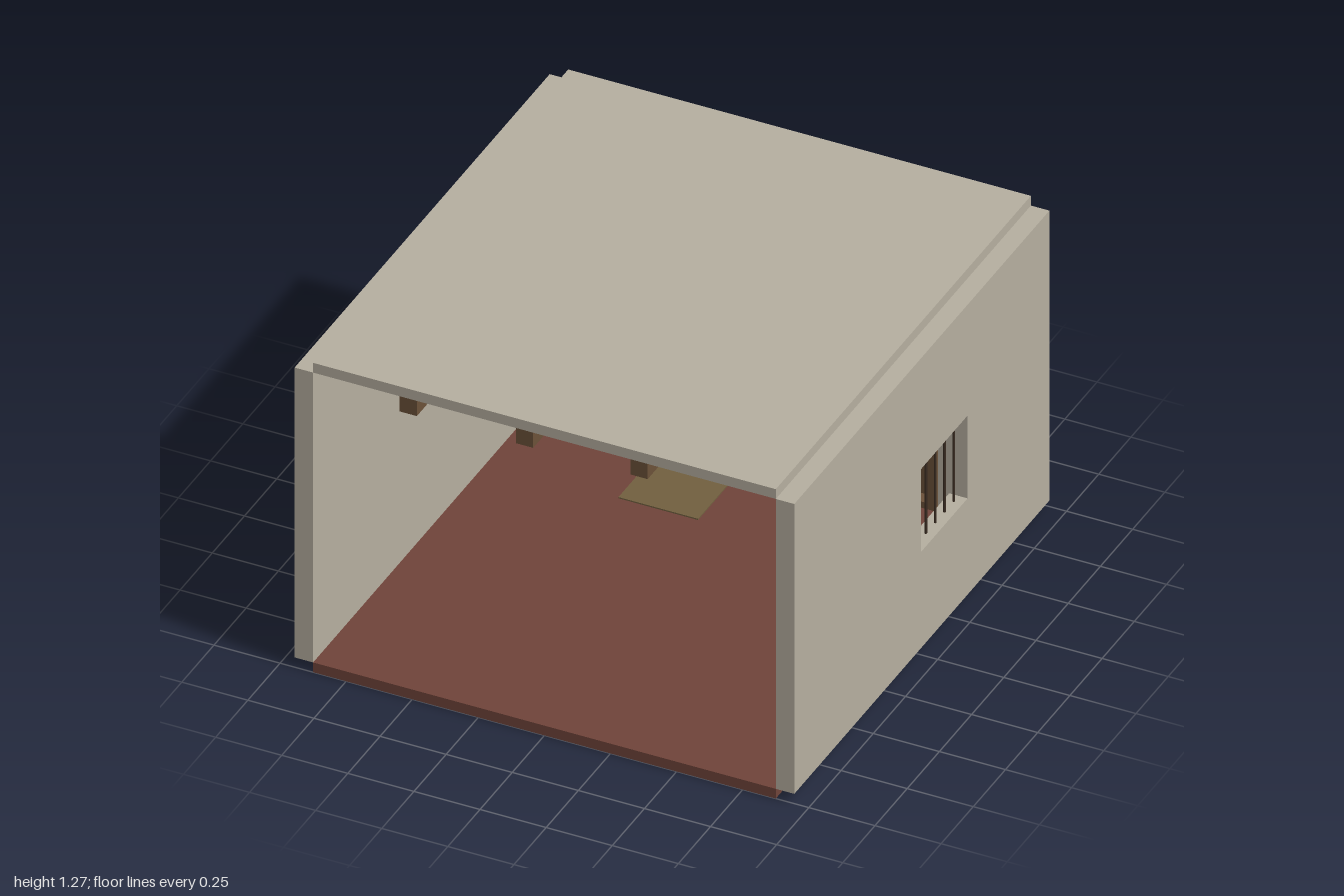
import * as THREE from 'three';

const material = (name, color) => {
  const m = new THREE.MeshStandardMaterial({ color });
  m.name = name;
  return m;
};

export function createModel() {
  const room = new THREE.Group();
  room.name = 'room';

  const plaster = material('plaster', 0xb6afa0);
  const clay = material('clayFloor', 0x70443a);
  const wood = material('wood', 0x6b5139);
  const redWood = material('redWood', 0x633a30);
  const straw = material('straw', 0x72603f);
  const iron = material('darkIron', 0x3a2c22);
  const pottery = material('pottery', 0x664c36);

  const add = (name, geometry, mat, parent = room) => {
    const mesh = new THREE.Mesh(geometry, mat);
    mesh.name = name;
    parent.add(mesh);
    return mesh;
  };
  // Box given by its limits on each axis
  const box = (name, mat, [x0, x1], [y0, y1], [z0, z1], parent) => {
    const mesh = add(name, new THREE.BoxGeometry(x1 - x0, y1 - y0, z1 - z0), mat, parent);
    mesh.position.set((x0 + x1) / 2, (y0 + y1) / 2, (z0 + z1) / 2);
    return mesh;
  };
  const group = (name) => {
    const g = new THREE.Group();
    g.name = name;
    room.add(g);
    return g;
  };
  const outline = (points) => points.map(([x, y]) => new THREE.Vector2(x, y));

  // Shell
  const wide = [-0.875, 0.875], deep = [-0.98, 1];
  box('floor', clay, wide, [0, 0.04], deep);
  box('roof', plaster, wide, [1.23, 1.27], deep);
  box('leftPlainWall', plaster, [-0.945, -0.875], [0.04, 1.23], deep);

  // Side wall with a window opening, drawn in z and y
  const sideShape = new THREE.Shape(outline([[-0.98, 0.04], [1, 0.04], [1, 1.23], [-0.98, 1.23]]));
  sideShape.holes.push(new THREE.Path(outline([[-0.345, 0.435], [-0.345, 0.775], [0.015, 0.775], [0.015, 0.435]])));
  const sideGeometry = new THREE.ExtrudeGeometry(sideShape, { depth: 0.07, bevelEnabled: false });
  sideGeometry.rotateY(-Math.PI / 2);
  add('windowWall', sideGeometry, plaster).position.x = 0.945;

  // Window bars
  const bars = group('windowBars');
  for (let i = -2; i <= 2; i++) {
    const bar = add('windowBar', new THREE.CylinderGeometry(0.005, 0.005, 0.34, 8), iron, bars);
    bar.position.set(0.91, 0.605, -0.165 + i * 0.072);
  }

  // Back wall with a doorway notch
  const backShape = new THREE.Shape(outline([
    [-0.875, 0.04], [0.242, 0.04], [0.242, 0.767], [0.626, 0.767],
    [0.626, 0.04], [0.875, 0.04], [0.875, 1.23], [-0.875, 1.23],
  ]));
  const backGeometry = new THREE.ExtrudeGeometry(backShape, { depth: 0.07, bevelEnabled: false });
  add('backWall', backGeometry, plaster).position.z = -0.84;

  // Screen slab standing behind the doorway
  box('screenSlab', plaster, [0.235, 0.632], [0.04, 0.91], [-1, -0.96]);

  // Ceiling beams
  for (const x of [-0.52, -0.08, 0.353]) {
    box('ceilingBeam', wood, [x - 0.0325, x + 0.0325], [1.16, 1.23], [-0.77, 0.99]);
  }

  // Door frame
  const door = group('door');
  const frameZ = [-0.86, -0.75];
  box('lintel', wood, [0.227, 0.643], [0.767, 0.8], [-0.865, -0.745], door);
  box('threshold', wood, [0.277, 0.593], [0.04, 0.065], frameZ, door);
  box('doorJamb', wood, [0.242, 0.277], [0.04, 0.767], frameZ, door);
  box('doorJamb', wood, [0.593, 0.626], [0.04, 0.767], frameZ, door);

  // Two leaves of three planks with three rails each
  for (const x of [0.28, 0.439]) {
    for (let i = 0; i < 3; i++) {
      const left = x + i * 0.051;
      box('doorPlank', wood, [left, left + 0.047], [0.067, 0.765], [-0.815, -0.795], door);
    }
    for (const y of [0.2, 0.458, 0.695]) {
      box('doorRail', wood, [x + 0.003, x + 0.146], [y - 0.017, y + 0.017], [-0.795, -0.78], door);
    }
  }

  // Counter and floor mat
  box('counterBody', wood, [-0.338, 0.096], [0.04, 0.213], [-0.76, -0.61]);
  box('counterTop', redWood, [-0.348, 0.106], [0.213, 0.222], [-0.77, -0.6]);
  box('floorMat', straw, [-0.378, -0.077], [0.04, 0.045], [-0.6, -0.35]);

  // Pottery on the counter
  const turned = (name, profile, x, mat) => {
    const mesh = add(name, new THREE.LatheGeometry(outline(profile), 16), mat);
    mat.side = THREE.DoubleSide;
    mesh.position.set(x, 0.222, -0.68);
  };
  turned('jug', [[0, 0], [0.014, 0], [0.023, 0.012], [0.023, 0.023], [0.012, 0.037], [0.01, 0.043], [0.014, 0.05]], -0.26, pottery);
  turned('cup', [[0, 0], [0.006, 0], [0.011, 0.006], [0.01, 0.012], [0, 0.015]], -0.1, pottery);
  turned('bowl', [[0, 0], [0.014, 0], [0.018, 0.006], [0.03, 0.014], [0.026, 0.014], [0, 0.006]], 0.045, iron);

  return room;
}
